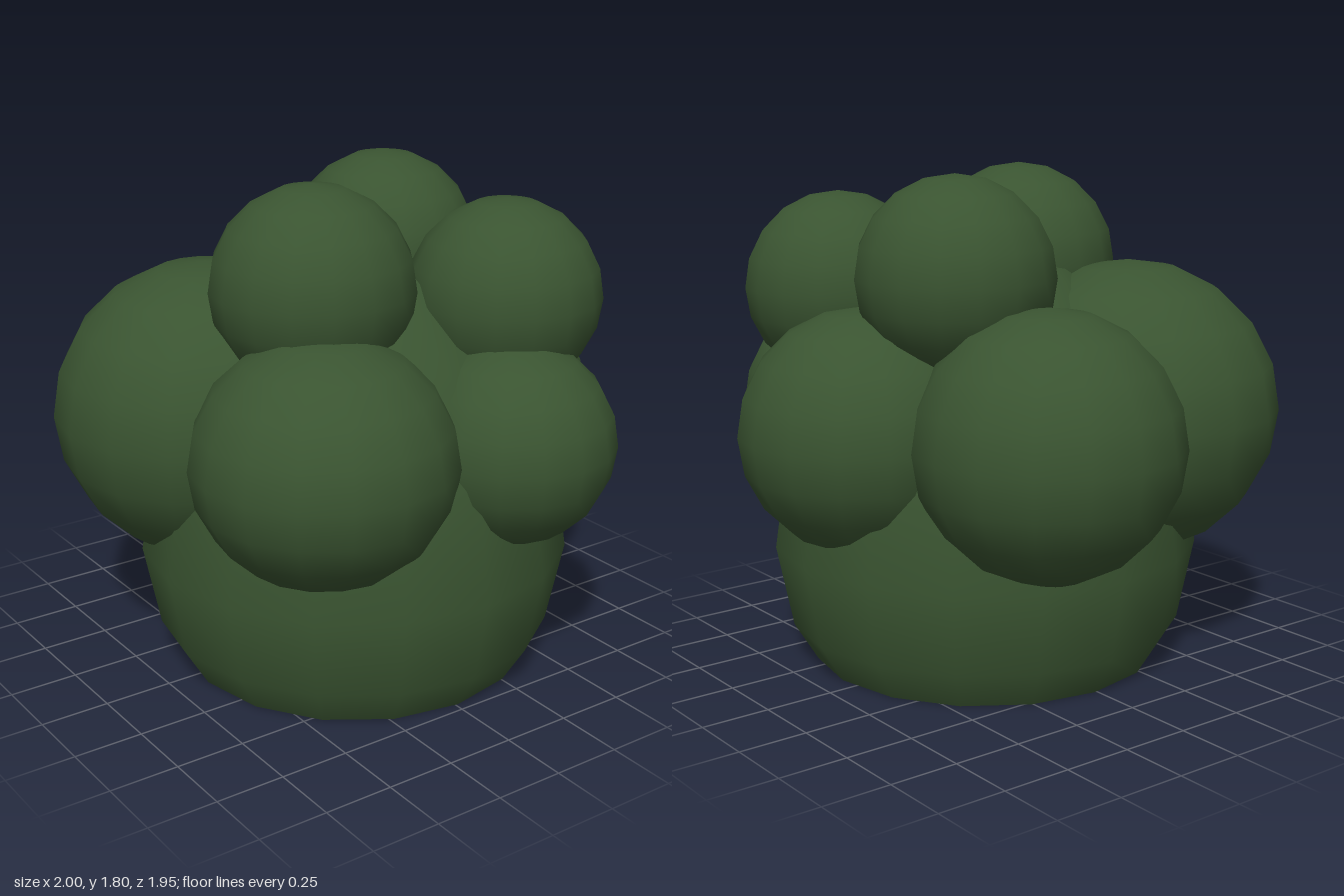
import * as THREE from 'three';

export function createModel() {
  const group = new THREE.Group();
  group.name = 'bush';
  const leafGreen = new THREE.MeshStandardMaterial({ color: 0x3a5431, side: THREE.DoubleSide });
  leafGreen.name = 'leafGreen';

  const add = (geometry, name, x, y, z) => {
    const mesh = new THREE.Mesh(geometry, leafGreen);
    mesh.name = name;
    mesh.position.set(x, y, z);
    group.add(mesh);
    return mesh;
  };

  // Egg-shaped core, open where it meets the ground
  const profile = [
    [0.64, 0], [0.725, 0.14], [0.785, 0.44], [0.725, 0.85],
    [0.555, 1.2], [0.3, 1.44], [0, 1.52],
  ].map(([r, y]) => new THREE.Vector2(r, y));
  add(new THREE.LatheGeometry(profile, 16), 'core', 0.075, 0, -0.01);

  // Round leaf clumps: name, centre, radius, vertical scale
  const clumps = [
    ['frontRightClump', -0.24, 0.925, 0.41, 0.56, 0.97],
    ['frontLeftClump', 0.455, 0.925, 0.38, 0.46, 0.94],
    ['leftClump', 0.63, 0.91, -0.28, 0.372, 0.98],
    ['rightClump', -0.53, 0.91, -0.2, 0.47, 1],
    ['backClump', 0.08, 0.9, -0.53, 0.45, 0.98],
    ['topFrontClump', 0.2, 1.445, 0.25, 0.358, 1],
    ['topRightClump', -0.145, 1.45, -0.3, 0.352, 1],
    ['topLeftClump', 0.43, 1.37, -0.405, 0.345, 1],
  ];
  for (const [name, x, y, z, r, squash] of clumps) {
    add(new THREE.SphereGeometry(r, 16, 10), name, x, y, z).scale.y = squash;
  }
  return group;
}
